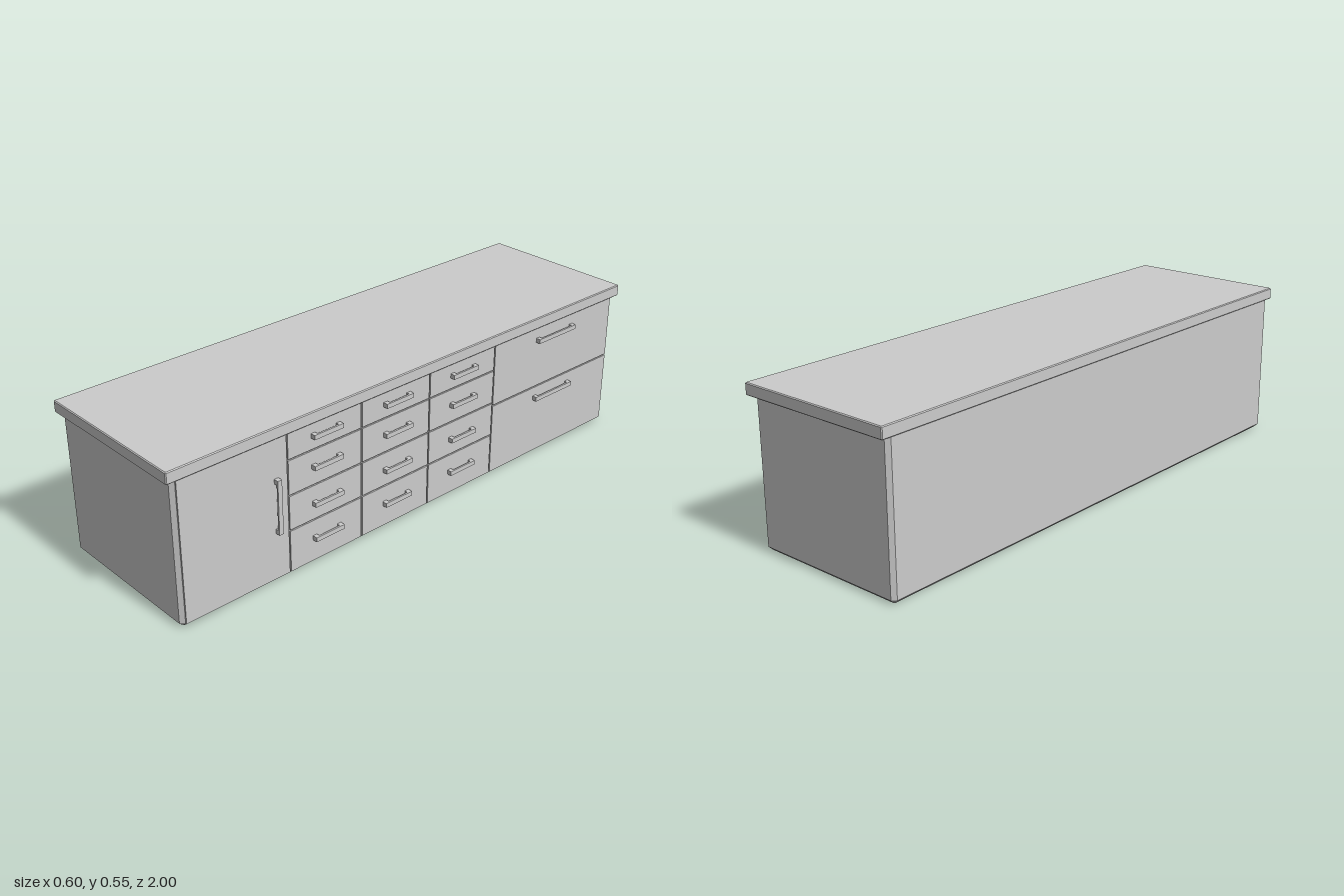
import * as THREE from 'three';

const material = new THREE.MeshStandardMaterial({ color: 0xcccccc, flatShading: true });

function addMesh(parent, name, geometry) {
  const mesh = new THREE.Mesh(geometry, material);
  mesh.name = name;
  parent.add(mesh);
  return mesh;
}

// Box between two corners with all edges cut at 45 degrees by c
function chamferBox(x0, x1, y0, y1, z0, z1, c) {
  const w = (x1 - x0) / 2 - c, d = (z1 - z0) / 2 - c;
  const shape = new THREE.Shape([[-w, -d], [w, -d], [w, d], [-w, d]]
    .map(([x, y]) => new THREE.Vector2(x, y)));
  // Outline with cut corners, inset by c so that the bevel grows it to full size
  const k = c * 0.4142;
  shape.curves.length = 0;
  shape.setFromPoints([
    [-w + k, -d], [w - k, -d], [w, -d + k], [w, d - k],
    [w - k, d], [-w + k, d], [-w, d - k], [-w, -d + k],
  ].map(([x, y]) => new THREE.Vector2(x, y)));
  const geometry = new THREE.ExtrudeGeometry(shape, {
    depth: y1 - y0 - 2 * c, bevelEnabled: true, bevelSegments: 1, bevelSize: c, bevelThickness: c,
  });
  geometry.rotateX(-Math.PI / 2);
  geometry.translate((x0 + x1) / 2, y0 + c, (z0 + z1) / 2);
  return geometry;
}

const FACE = 0.282; // outer plane of the doors and drawers
const GAP = 0.005;

// U-shaped pull: a bar on two posts, standing out along +x
function addHandle(parent, y, z, length, vertical = false) {
  const h = length / 2, post = 0.016, thick = 0.016, reach = 0.0175, bar = 0.0065;
  const shape = new THREE.Shape();
  shape.moveTo(0, -h);
  shape.lineTo(reach, -h);
  shape.lineTo(reach, h);
  shape.lineTo(0, h);
  shape.lineTo(0, h - post);
  shape.lineTo(reach - bar, h - post);
  shape.lineTo(reach - bar, -h + post);
  shape.lineTo(0, -h + post);
  shape.closePath();
  const geometry = new THREE.ExtrudeGeometry(shape, { depth: thick, bevelEnabled: false });
  geometry.translate(0, 0, -thick / 2);
  if (!vertical) geometry.rotateX(Math.PI / 2);
  addMesh(parent, 'handle', geometry).position.set(FACE, y, z);
}

// Thin front panel, with a narrow gap left around it
function addPanel(parent, name, y0, y1, z0, z1) {
  const geometry = new THREE.BoxGeometry(0.008, y1 - y0 - GAP, z1 - z0 - GAP);
  addMesh(parent, name, geometry).position.set(FACE - 0.004, (y0 + y1) / 2, (z0 + z1) / 2);
}

export function createModel() {
  const model = new THREE.Group();
  model.name = 'sideboard';

  addMesh(model, 'carcass', chamferBox(-0.297, 0.277, 0, 0.521, -0.977, 0.977, 0.013));
  addMesh(model, 'countertop', chamferBox(-0.3, 0.289, 0.508, 0.549, -1, 1, 0.003));

  // Door at the +z end
  const bottom = 0.012, top = 0.511, end = 0.966;
  const door = new THREE.Group();
  door.name = 'door';
  model.add(door);
  addPanel(door, 'doorPanel', bottom, top, 0.565, end);
  addHandle(door, 0.276, 0.61, 0.192, true);

  // Three columns of four small drawers
  const columns = [0.565, 0.265, -0.035, -0.345];
  const rows = [bottom, 0.165, 0.29, 0.415, top];
  const handleHeights = [0.099, 0.226, 0.357, 0.465];
  const handleCentres = [0.413, 0.113, -0.19];
  for (let c = 0; c < 3; c++) {
    for (let r = 0; r < 4; r++) {
      const drawer = new THREE.Group();
      drawer.name = 'smallDrawer';
      model.add(drawer);
      addPanel(drawer, 'drawerPanel', rows[r], rows[r + 1], columns[c + 1], columns[c]);
      addHandle(drawer, handleHeights[r], handleCentres[c], 0.117);
    }
  }

  // Two wide drawers at the -z end
  for (const [y0, y1, handleY] of [[bottom, 0.278, 0.235], [0.278, top, 0.461]]) {
    const drawer = new THREE.Group();
    drawer.name = 'wideDrawer';
    model.add(drawer);
    addPanel(drawer, 'drawerPanel', y0, y1, -end, columns[3]);
    addHandle(drawer, handleY, -0.655, 0.192);
  }

  return model;
}
